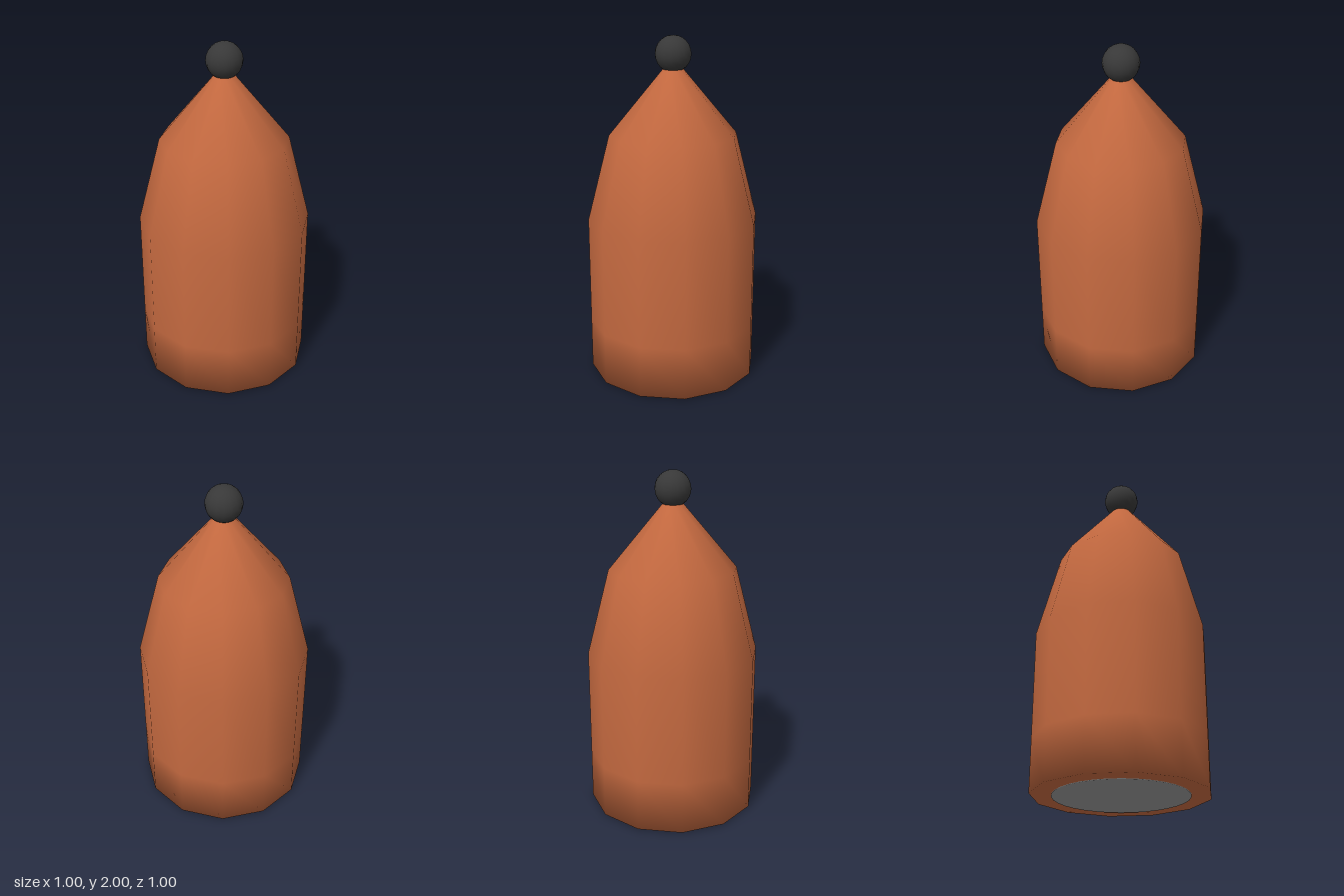
import * as THREE from 'three';

const paint = (name, color) => {
  const m = new THREE.MeshStandardMaterial({ color });
  m.name = name;
  return m;
};

// Surface of revolution with smooth normals, profile given as [radius, height] from the bottom up
const turned = (profile, sides) =>
  new THREE.LatheGeometry(profile.map(([r, y]) => new THREE.Vector2(r, y)), sides);

export function createModel() {
  const terracotta = paint('terracotta', 0xc2683f);
  const charcoal = paint('charcoal', 0x383838);
  const grey = paint('grey', 0x999999);

  const model = new THREE.Group();
  model.name = 'taperedBottle';
  const add = (name, geometry, material) => {
    const mesh = new THREE.Mesh(geometry, material);
    mesh.name = name;
    model.add(mesh);
    return mesh;
  };

  // Twelve-sided body: closed base, straight wall, then two tapers to a narrow neck
  add('body', turned([
    [0, 0.004], [0.5, 0.004], [0.5, 0.31], [0.5, 0.94],
    [0.37, 1.44], [0.06, 1.81], [0, 1.81],
  ], 12), terracotta);

  // Round plate on the underside
  add('basePlate', turned([[0, 0], [0.38, 0], [0.38, 0.008]], 32), grey);

  // Ball on the tip
  add('tipBall', new THREE.SphereGeometry(0.104, 16, 12), charcoal).position.y = 1.896;

  return model;
}
